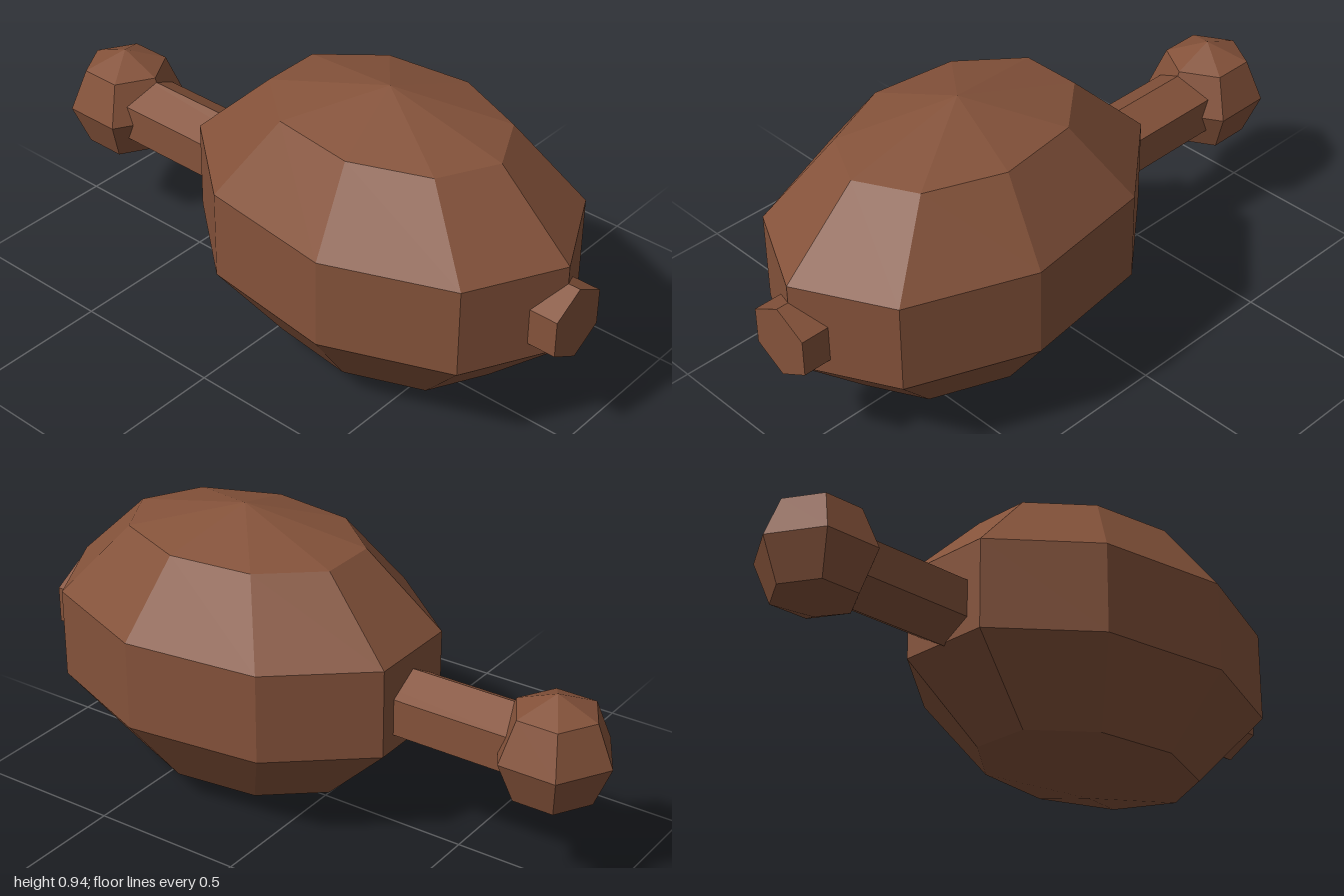
import * as THREE from 'three';

export function createModel() {
  const group = new THREE.Group();
  const wood = new THREE.MeshStandardMaterial({ color: 0x84523a });
  wood.name = 'brown wood';

  // Faceted mesh: unshared corners give flat normals
  function addPart(name, geometry, x, y, z) {
    const faceted = geometry.toNonIndexed();
    faceted.computeVertexNormals();
    const mesh = new THREE.Mesh(faceted, wood);
    mesh.name = name;
    mesh.position.set(x, y, z);
    group.add(mesh);
  }

  // Egg-shaped head: nine-sided sphere with a corner on +x
  const head = new THREE.SphereGeometry(1, 9, 5, Math.PI);
  head.scale(0.694, 0.472, 0.486);
  addPart('head', head, 0.3, 0.473, 0);

  // Hexagonal shaft running through the head, ridge upward
  const start = -0.81, end = 1;
  const shaft = new THREE.CylinderGeometry(0.12, 0.12, end - start, 6, 1, false, Math.PI / 2);
  shaft.rotateZ(Math.PI / 2);
  addPart('shaft', shaft, (start + end) / 2, 0.44, 0);

  // Knob at the end of the shaft
  addPart('knob', new THREE.SphereGeometry(0.19, 6, 4), -0.81, 0.44, 0);

  return group;
}
